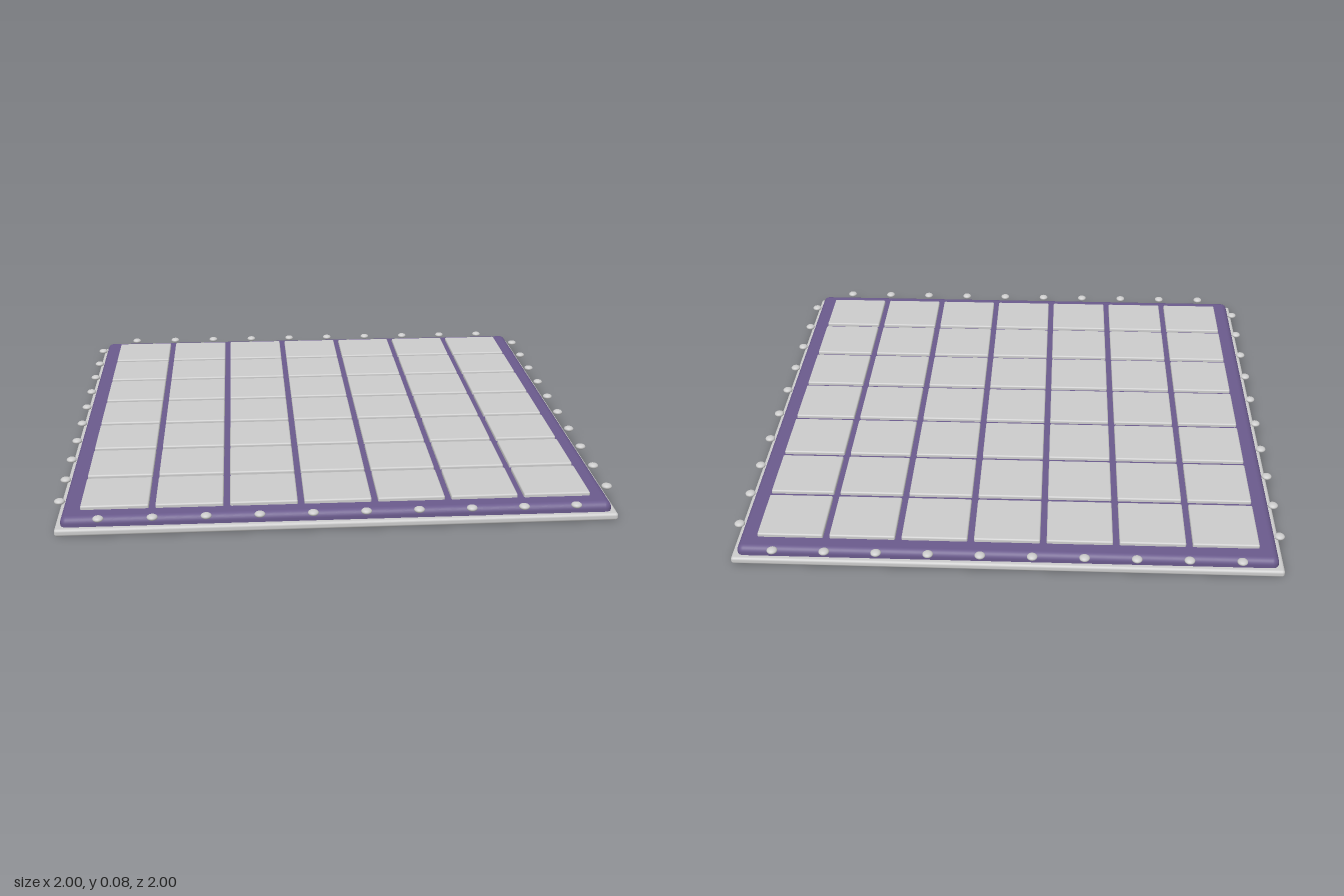
import * as THREE from 'three';
import { RoundedBoxGeometry } from 'three/addons/geometries/RoundedBoxGeometry.js';

export function createModel() {
  const model = new THREE.Group();
  const grey = new THREE.MeshStandardMaterial({ color: 0xcccccc });
  const purple = new THREE.MeshStandardMaterial({ color: 0x6a5a8c });

  // Square rounded slab resting at height y0
  const slab = (name, size, y0, y1, radius, material, parent = model, x = 0, z = 0) => {
    const geometry = new RoundedBoxGeometry(size, y1 - y0, size, 4, radius);
    const mesh = new THREE.Mesh(geometry, material);
    mesh.name = name;
    mesh.position.set(x, (y0 + y1) / 2, z);
    parent.add(mesh);
  };

  // Thin base and the thicker coloured board on it
  slab('base', 1.972, 0, 0.027, 0.01, grey);
  slab('board', 1.934, 0.002, 0.061, 0.024, purple);

  // Seven by seven grid of tiles
  const tiles = new THREE.Group();
  tiles.name = 'tiles';
  model.add(tiles);
  const pitch = 0.261;
  for (let i = -3; i <= 3; i++) {
    for (let j = -3; j <= 3; j++) {
      slab('tile', 0.238, 0.055, 0.075, 0.006, grey, tiles, i * pitch, j * pitch);
    }
  }

  // Ten flattened beads along each side
  const beads = new THREE.Group();
  beads.name = 'beads';
  model.add(beads);
  const beadGeometry = new THREE.SphereGeometry(0.019, 20, 14).scale(1, 0.55, 1);
  for (let side = 0; side < 4; side++) {
    const row = new THREE.Group();
    row.name = 'beadRow';
    row.rotation.y = side * Math.PI / 2;
    for (let i = 0; i < 10; i++) {
      const bead = new THREE.Mesh(beadGeometry, grey);
      bead.name = 'bead';
      bead.position.set((i - 4.5) * 0.185, 0.064, 0.981);
      row.add(bead);
    }
    beads.add(row);
  }

  return model;
}
